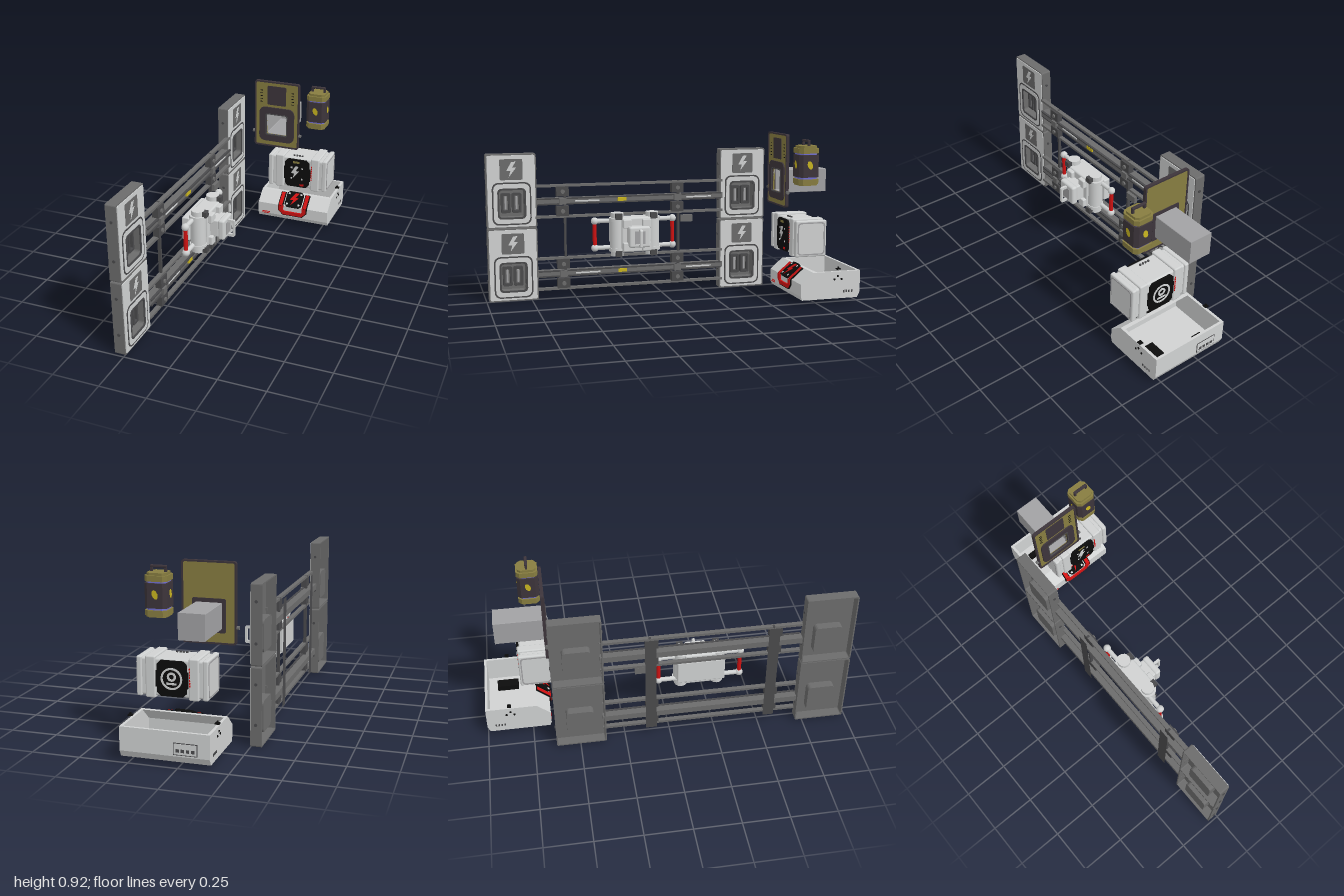
import * as THREE from 'three';
import { RoundedBoxGeometry } from 'three/addons/geometries/RoundedBoxGeometry.js';

const mat = (name, color) => Object.assign(new THREE.MeshStandardMaterial({ color, side: THREE.DoubleSide }), { name });
const M = {
  light: mat('light grey', 0xd0d2d2), tunnel: mat('duct grey', 0xa2a2a4), mid: mat('steel grey', 0x6c6c6c),
  dark: mat('dark grey', 0x4a4a4c), black: mat('black', 0x0c0c0c), red: mat('red', 0xd01212),
  olive: mat('olive', 0x877d40), plum: mat('dark plum', 0x3d353b), violet: mat('violet', 0x7270d4), yellow: mat('yellow', 0xc9b520),
};

function put(parent, name, geo, m, x = 0, y = 0, z = 0) {
  const mesh = new THREE.Mesh(geo, m);
  mesh.name = name;
  mesh.position.set(x, y, z);
  parent.add(mesh);
  return mesh;
}
function group(parent, name, x = 0, y = 0, z = 0) {
  const g = new THREE.Group();
  g.name = name;
  g.position.set(x, y, z);
  parent.add(g);
  return g;
}
// box given by its limits on each axis, optionally rounded
function box(parent, name, m, x0, x1, y0, y1, z0, z1, r = 0) {
  const s = [x1 - x0, y1 - y0, z1 - z0];
  const geo = r ? new RoundedBoxGeometry(...s, 2, r) : new THREE.BoxGeometry(...s);
  return put(parent, name, geo, m, (x0 + x1) / 2, (y0 + y1) / 2, (z0 + z1) / 2);
}
const poly = (pts) => new THREE.Shape(pts.map((p) => new THREE.Vector2(...p)));
// rectangle with rounded corners, or cut corners when n = 1
function rr(w, h, r, n = 4, cx = 0, cy = 0) {
  const pts = [];
  [[1, 1], [-1, 1], [-1, -1], [1, -1]].forEach(([sx, sy], q) => {
    for (let i = 0; i <= n; i++) {
      const a = (q + i / n) * Math.PI / 2;
      pts.push([cx + sx * (w / 2 - r) + r * Math.cos(a), cy + sy * (h / 2 - r) + r * Math.sin(a)]);
    }
  });
  return poly(pts);
}
function ring(outer, ...holes) {
  outer.holes.push(...holes);
  return outer;
}
const ext = (parent, name, m, shape, d, x = 0, y = 0, z = 0) =>
  put(parent, name, new THREE.ExtrudeGeometry(shape, { depth: d, bevelEnabled: false, curveSegments: 6 }), m, x, y, z);
const bolt = (h) => poly([[0.02, 0.5], [-0.3, -0.08], [-0.04, -0.08], [-0.16, -0.5], [0.32, 0.12], [0.06, 0.12], [0.3, 0.5]].map(([x, y]) => [x * h, y * h]));
function cyl(parent, name, m, r, len, axis, x, y, z, n = 16) {
  const c = put(parent, name, new THREE.CylinderGeometry(r, r, len, n), m, x, y, z);
  if (axis === 'x') c.rotation.z = Math.PI / 2;
  if (axis === 'z') c.rotation.x = Math.PI / 2;
  return c;
}

// wall panel, built facing +z and turned to face +x
function wallPanel(root, y0, zc) {
  const g = group(root, 'wallPanel', -0.305, y0 + 0.206, zc);
  g.rotation.y = Math.PI / 2;
  const W = 0.275, H = 0.41, wy = -0.069, hole = () => rr(0.15, 0.165, 0.02, 4, 0, wy);
  ext(g, 'panelRim', M.mid, ring(rr(W, H, 0.008), rr(W - 0.014, H - 0.014, 0.006)), 0.058);
  ext(g, 'panelBacking', M.mid, ring(rr(W - 0.004, H - 0.004, 0.008), hole()), 0.004, 0, 0, 0.054);
  ext(g, 'panelFace', M.light, ring(rr(W - 0.014, H - 0.014, 0.008), hole()), 0.004, 0, 0, 0.058);
  ext(g, 'windowOutline', M.dark, ring(rr(0.214, 0.236, 0.035), rr(0.198, 0.22, 0.03)), 0.004, 0, wy, 0.06);
  ext(g, 'windowFrame', M.light, ring(rr(0.198, 0.22, 0.03), rr(0.15, 0.165, 0.02)), 0.005, 0, wy, 0.06);
  ext(g, 'windowLip', M.dark, ring(rr(0.156, 0.171, 0.022), rr(0.136, 0.151, 0.016)), 0.006, 0, wy, 0.06);
  ext(g, 'recessWall', M.mid, ring(rr(0.15, 0.165, 0.02), rr(0.136, 0.151, 0.016)), 0.05, 0, wy, 0.01);
  ext(g, 'recessBack', M.mid, rr(0.15, 0.165, 0.02), 0.006, 0, wy, 0.008);
  for (const s of [-1, 1]) {
    ext(g, 'socket', M.dark, ring(rr(0.052, 0.11, 0.008), rr(0.026, 0.082, 0.004)), 0.022, s * 0.03, wy, 0.014);
    box(g, 'socketCore', M.tunnel, s * 0.03 - 0.005, s * 0.03 + 0.005, wy - 0.035, wy + 0.035, 0.014, 0.026);
    for (const y of [0.117, -0.09]) cyl(g, 'sideScrew', M.dark, 0.008, 0.008, 'x', s * (W / 2 + 0.001), y, 0.03, 12);
  }
  ext(g, 'markPlate', M.mid, rr(0.125, 0.115, 0.008), 0.003, 0, 0.12, 0.06);
  ext(g, 'markBolt', M.light, bolt(0.085), 0.002, 0, 0.12, 0.063);
}

function railFrame(root) {
  const g = group(root, 'railFrame');
  for (const y of [0.555, 0.145]) {
    for (const s of [-1, 1]) {
      const ry = y + s * 0.087;
      box(g, 'thinRail', M.mid, -0.262, -0.238, ry - 0.007, ry + 0.007, -0.37, 0.72);
      for (const z of [0.57, -0.095]) {
        box(g, 'bracket', M.dark, -0.262, -0.228, y + s * 0.055 - 0.028, y + s * 0.055 + 0.028, z - 0.035, z + 0.035);
        cyl(g, 'bracketBolt', M.mid, 0.012, 0.012, 'x', -0.226, y + s * 0.055, z, 10);
      }
    }
    box(g, 'mainRail', M.mid, -0.285, -0.24, y - 0.017, y + 0.017, -0.37, 0.72);
    for (const s of [-1, 1]) box(g, 'railEdge', M.dark, -0.245, -0.232, y + s * 0.015 - 0.004, y + s * 0.015 + 0.004, -0.36, 0.71);
    for (const [a, b] of [[0.36, 0.5], [-0.3, -0.15]]) box(g, 'railStrip', M.light, -0.24, -0.237, y - 0.006, y + 0.002, a, b);
    box(g, 'railTag', M.yellow, -0.24, -0.231, y - 0.01, y + 0.01, 0.205, 0.255);
    for (const z of [0.57, -0.095]) box(g, 'railClamp', M.mid, -0.245, -0.222, y - 0.018, y + 0.018, z - 0.02, z + 0.02);
  }
  // uprights: thin posts in front, broad straps seen from behind
  for (const z of [0.555, -0.105]) {
    box(g, 'post', M.dark, -0.262, -0.245, 0.05, 0.65, z - 0.006, z + 0.006);
    const strap = put(g, 'strap', new THREE.PlaneGeometry(0.06, 0.6), M.back, -0.288, 0.35, z);
    strap.rotation.y = -Math.PI / 2;
  }
  box(g, 'sensor', M.mid, -0.25, -0.23, 0.41, 0.45, -0.185, -0.115);
}

function device(root) {
  const g = group(root, 'device', 0, 0, 0.177);
  box(g, 'mountPlate', M.light, -0.242, -0.2, 0.31, 0.445, -0.13, 0.13, 0.006);
  box(g, 'coreBlock', M.light, -0.21, -0.11, 0.27, 0.465, -0.085, 0.085, 0.01);
  for (const s of [-1, 1]) {
    const z = s * 0.1;
    cyl(g, 'column', M.light, 0.042, 0.19, 'y', -0.16, 0.368, z, 16);
    for (const e of [-1, 1]) {
      const y = 0.368 + e * 0.105;
      cyl(g, 'columnCollar', M.light, 0.047, 0.02, 'y', -0.16, y - e * 0.02, z, 16);
      cyl(g, 'columnCap', M.light, 0.036, 0.034, 'y', -0.16, y, z, 12);
      cyl(g, 'arm', M.light, 0.013, 0.12, 'z', -0.177, 0.368 + e * 0.076, s * 0.165, 12);
      put(g, 'armBall', new THREE.SphereGeometry(0.021, 16, 10), M.light, -0.177, 0.368 + e * 0.076, s * 0.225);
      box(g, 'clamp', M.dark, -0.13, -0.105, y - 0.016, y + 0.016, z - 0.018, z + 0.018);
      box(g, 'shoulder', M.light, -0.15, -0.088, 0.368 + e * 0.065 - 0.025, 0.368 + e * 0.065 + 0.025, s * 0.055 - 0.025, s * 0.055 + 0.025, 0.006);
    }
    cyl(g, 'redRod', M.red, 0.0115, 0.13, 'y', -0.177, 0.368, s * 0.225, 12);
  }
  box(g, 'neck', M.light, -0.12, -0.06, 0.32, 0.42, -0.055, 0.055, 0.008);
  box(g, 'head', M.light, -0.065, -0.028, 0.308, 0.425, -0.06, 0.06, 0.012);
  box(g, 'headSlot', M.tunnel, -0.03, -0.026, 0.33, 0.4, -0.03, 0.03);
  ext(g, 'tipFrame', M.light, ring(rr(0.05, 0.1, 0.008), rr(0.026, 0.07, 0.005)), 0.014, -0.014, 0.362, -0.007);
}

function crate(root) {
  const g = group(root, 'crate', 0.098, 0.369, -0.705);
  box(g, 'crateBody', M.light, -0.165, 0.165, -0.095, 0.095, -0.083, 0.083, 0.012);
  for (const s of [-1, 1]) {
    const b = (name, a, c, h, d) => box(g, name, M.light, Math.min(s * a, s * c), Math.max(s * a, s * c), -h, h, -d, d, 0.008);
    b('crateBand', 0.085, 0.137, 0.105, 0.091);
    b('crateEnd', 0.155, 0.183, 0.1, 0.09);
    ext(g, 'endFrame', M.tunnel, ring(rr(0.16, 0.18, 0.02), rr(0.146, 0.166, 0.016)), 0.003, s * 0.1825 - (s < 0 ? 0.003 : 0), 0, 0).rotation.y = Math.PI / 2;
    // front and back plates, turned about the upright axis
    const f = group(g, s > 0 ? 'frontPlate' : 'backPlate');
    f.rotation.y = s > 0 ? 0 : Math.PI;
    ext(f, 'blackPlate', M.black, rr(0.15, 0.178, 0.018, 1), 0.012, 0, 0, 0.082);
    box(f, 'plateLink', M.black, -0.083, 0.083, -0.045, 0.035, 0.082, 0.092);
    if (s > 0) {
      ext(f, 'plateBolt', M.light, bolt(0.08), 0.003, -0.012, 0.005, 0.094);
      for (const x of [-1, 1]) for (const y of [-1, 1]) box(f, 'corner', M.light, x * 0.034 - 0.005, x * 0.034 + 0.005, y * 0.035 - 0.005, y * 0.035 + 0.005, 0.094, 0.096);
      box(f, 'topLabel', M.olive, -0.025, 0.015, 0.065, 0.078, 0.094, 0.096);
      box(f, 'redLabel', M.red, 0.02, 0.045, -0.08, -0.068, 0.094, 0.096);
    } else {
      ext(f, 'backRing', M.light, ring(rr(0.11, 0.11, 0.055, 8), rr(0.09, 0.09, 0.045, 8)), 0.003, 0, 0, 0.094);
      ext(f, 'backDisc', M.light, ring(rr(0.046, 0.046, 0.023, 8), rr(0.024, 0.024, 0.012, 8)), 0.003, 0, 0.01, 0.094);
      box(f, 'backBar', M.light, -0.026, 0.026, -0.03, -0.02, 0.094, 0.097);
    }
    for (let i = 0; i < 7; i++) box(f, 'redDash', M.red, 0.088, 0.094, -0.035 + i * 0.014, -0.026 + i * 0.014, 0.09, 0.0935);
  }
  for (let i = 0; i < 4; i++) cyl(g, 'topStud', M.dark, 0.006, 0.012, 'y', -0.03 + i * 0.017, 0.096, 0.05, 10);
}

function bin(root) {
  const g = group(root, 'bin', 0.065, 0, 0);
  const side = poly([[0.655, 0.028], [0.985, 0.028], [1, 0.06], [1, 0.18], [0.72, 0.18], [0.647, 0.118], [0.647, 0.05]]);
  const shell = poly([[0.655, 0.028], [0.985, 0.028], [1, 0.06], [1, 0.18], [0.986, 0.18], [0.986, 0.045], [0.662, 0.045], [0.662, 0.111], [0.742, 0.18], [0.72, 0.18], [0.647, 0.118], [0.647, 0.05]]);
  ext(g, 'binShell', M.light, shell, 0.42, -0.21).rotation.y = Math.PI / 2;
  for (const s of [-1, 1]) {
    ext(g, 'binSide', M.light, side, 0.015, s * 0.217 - 0.0075).rotation.y = Math.PI / 2;
    box(g, 'knobBase', M.black, s * 0.22 - 0.011, s * 0.22 + 0.011, 0.191, 0.197, -0.88, -0.858);
    cyl(g, 'knob', M.black, 0.005, 0.016, 'y', s * 0.22, 0.198, -0.869, 10);
    for (const [y, z] of [[0.137, -0.845], [0.137, -0.888], [0.155, -0.865]]) cyl(g, 'sideDot', M.black, 0.006, 0.006, 'x', s * 0.225, y, z, 10);
    for (let i = 0; i < 4; i++) box(g, 'sideVent', M.dark, s * 0.225 - 0.001, s * 0.225 + 0.001, 0.06, 0.074, -0.955 + i * 0.016, -0.947 + i * 0.016);
  }
  box(g, 'innerLatch', M.black, 0.09, 0.15, 0.045, 0.075, -0.935, -0.815);
  box(g, 'innerLatch', M.black, -0.155, -0.1, 0.045, 0.075, -0.935, -0.905);
  // label on the rear
  box(g, 'rearLabel', M.dark, -0.165, -0.045, 0.067, 0.128, -1.0015, -0.998);
  box(g, 'rearLabelFace', M.light, -0.161, -0.049, 0.071, 0.124, -1.003, -1);
  for (let i = 0; i < 4; i++) box(g, 'rearSlot', M.dark, -0.15 + i * 0.025, -0.134 + i * 0.025, 0.082, 0.098, -1.0045, -1.002);
  for (let i = 0; i < 5; i++) for (const y of [0.049, 0.058]) box(g, 'redTag', M.red, -0.198 + i * 0.01, -0.19 + i * 0.01, y, y + 0.005, -0.648, -0.645);
  // red handle: lower bend on the upright face, bars and plate on the slope
  const arch = (a, b, r) => poly([[-a, 0.12], [-a, b + r], [-a + r, b], [a - r, b], [a, b + r], [a, 0.12], [a - 0.027, 0.12], [a - 0.027, b + r], [a - r - 0.008, b + 0.022], [r + 0.008 - a, b + 0.022], [0.027 - a, b + r], [0.027 - a, 0.12]]);
  ext(g, 'handleEdge', M.black, arch(0.093, 0.058, 0.03), 0.007, 0, 0, -0.647);
  ext(g, 'handleBend', M.red, arch(0.088, 0.063, 0.027), 0.01, 0, 0, -0.647);
  const f = group(g, 'slopeFittings', 0, 0.149, -0.6835);
  f.rotation.x = -0.866;
  for (const s of [-1, 1]) {
    box(f, 'barEdge', M.black, s * 0.0775 - 0.016, s * 0.0775 + 0.016, -0.048, 0.044, 0, 0.007);
    box(f, 'handleBar', M.red, s * 0.0775 - 0.011, s * 0.0775 + 0.011, -0.05, 0.041, 0, 0.01);
    for (const y of [-1, 1]) box(f, 'corner', M.light, s * 0.038 - 0.006, s * 0.038 + 0.006, y * 0.036 - 0.006, y * 0.036 + 0.006, 0.012, 0.0145);
  }
  ext(f, 'blackPlate', M.black, rr(0.106, 0.106, 0.014, 1), 0.013);
  ext(f, 'redBolt', M.red, bolt(0.085), 0.003, 0, 0, 0.013);
}

function signBoard(root) {
  const g = group(root, 'signBoard', -0.042, 0.72, -0.645);
  const hole = (w) => rr(w, w, 0.008, 4, 0, -0.063);
  ext(g, 'boardFrame', M.plum, ring(rr(0.278, 0.41, 0.014), rr(0.26, 0.392, 0.01)), 0.018);
  ext(g, 'boardFace', M.olive, ring(rr(0.262, 0.394, 0.01), hole(0.126)), 0.01, 0, 0, 0.003);
  ext(g, 'bezel', M.plum, ring(rr(0.218, 0.214, 0.035, 4, 0, -0.063), hole(0.126)), 0.009, 0, 0, 0.012);
  ext(g, 'bezelLip', M.dark, ring(hole(0.136), hole(0.126)), 0.012, 0, 0, 0.012);
  ext(g, 'rearCollar', M.plum, ring(hole(0.17), hole(0.126)), 0.005, 0, 0, -0.001);
  ext(g, 'upperScreen', M.plum, rr(0.115, 0.117, 0.006), 0.004, -0.002, 0.118, 0.012);
  ext(g, 'ductWall', M.tunnel, ring(rr(0.132, 0.13, 0.002, 1, 0, -0.063), rr(0.126, 0.124, 0.002, 1, 0, -0.063)), 0.265, 0, 0, -0.255);
  box(g, 'ductEnd', M.tunnel, -0.066, 0.066, -0.128, 0.002, -0.257, -0.252);
  for (const s of [-1, 1]) {
    cyl(g, 'sideKnob', M.mid, 0.01, 0.014, 'x', s * 0.145, -0.118, 0.009, 12);
    for (let i = 0; i < 5; i++) box(g, 'gaugeMark', M.black, s * 0.097 - 0.008, s * 0.097 + 0.008, 0.073 + i * 0.0175, 0.077 + i * 0.0175, 0.013, 0.0145);
  }
}

function canister(root) {
  const g = group(root, 'canister', 0.19, 0, -0.704);
  const layer = (name, m, w, y0, y1) => {
    ext(g, name, m, rr(w, w, w * 0.16, 1), y1 - y0, 0, y0, 0).rotation.x = -Math.PI / 2;
    g.children.at(-1).position.y = y0;
  };
  layer('base', M.olive, 0.106, 0.655, 0.662);
  layer('base', M.olive, 0.116, 0.662, 0.69);
  layer('glow', M.violet, 0.1, 0.685, 0.835);
  layer('sleeve', M.plum, 0.116, 0.7, 0.822);
  layer('cap', M.olive, 0.116, 0.83, 0.858);
  layer('cap', M.olive, 0.098, 0.858, 0.871);
  for (const s of [-1, 1]) box(g, 'handlePost', M.plum, s * 0.036 - 0.006, s * 0.036 + 0.006, 0.865, 0.898, -0.006, 0.006);
  box(g, 'handleGrip', M.plum, -0.042, 0.042, 0.89, 0.903, -0.008, 0.008, 0.004);
  for (let i = 0; i < 4; i++) {
    const f = group(g, 'leafMark', 0, 0.767, 0);
    f.rotation.y = i * Math.PI / 2;
    const leaf = put(f, 'leaf', new THREE.CircleGeometry(0.024, 9), M.yellow, 0, 0, 0.0595);
    leaf.scale.x = 0.62;
    leaf.rotation.z = 0.35;
  }
}

export function createModel() {
  const root = new THREE.Group();
  root.name = 'workshopSet';
  // straps show only from behind
  M.back = M.back || Object.assign(M.dark.clone(), { name: 'dark grey strap', side: THREE.FrontSide });
  for (const z of [0.849, -0.493]) for (const y of [0, 0.413]) wallPanel(root, y, z);
  railFrame(root);
  device(root);
  crate(root);
  bin(root);
  signBoard(root);
  canister(root);
  return root;
}
